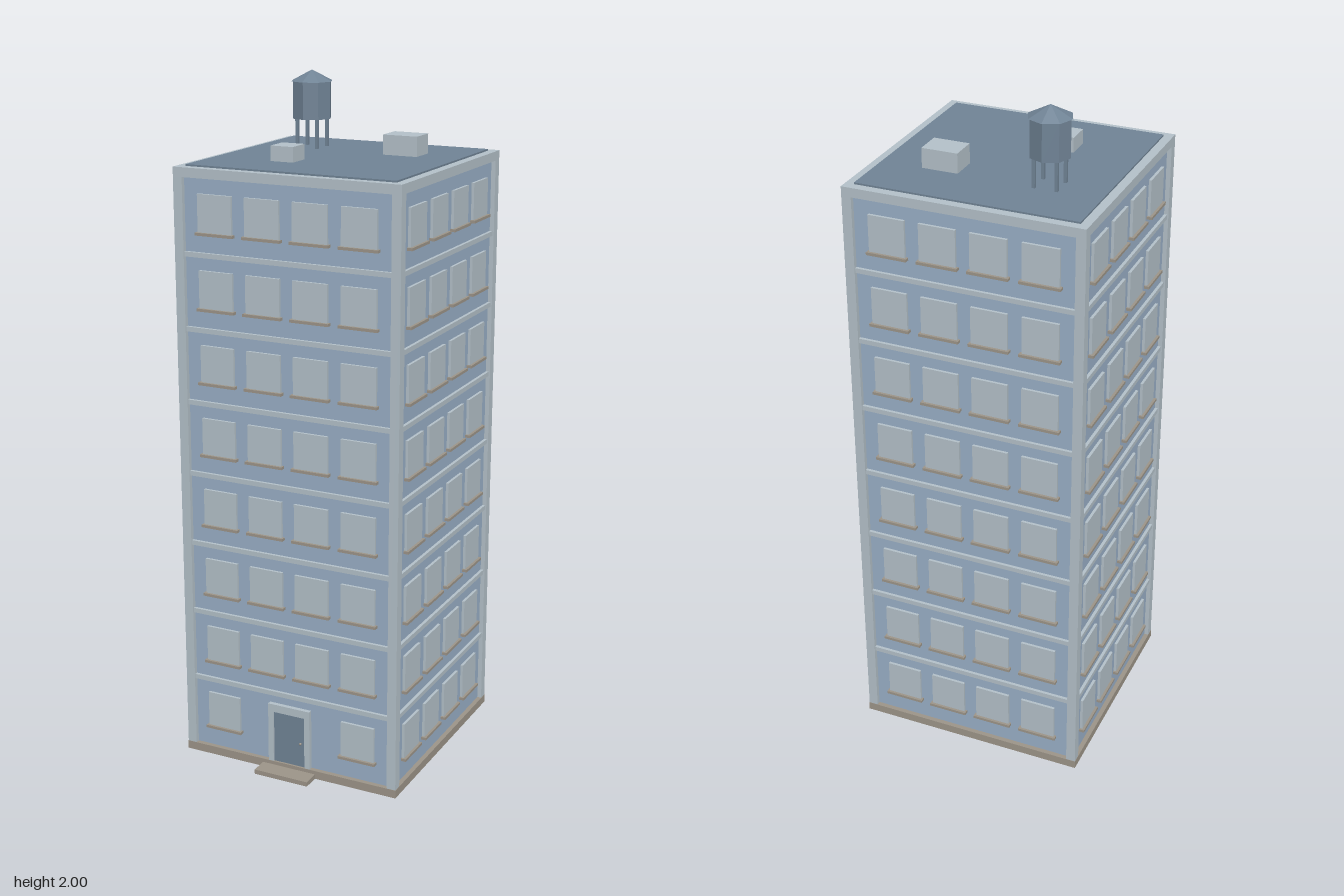
import * as THREE from 'three';

const mat = (name, color) => {
  const m = new THREE.MeshStandardMaterial({ color });
  m.name = name;
  return m;
};

export function createModel() {
  const model = new THREE.Group();
  model.name = 'apartmentBuilding';

  const wall = mat('blueWall', 0x98aec5);
  const trim = mat('paleTrim', 0xb3c0c8);
  const slate = mat('slate', 0x708395);
  const stone = mat('stone', 0x9c9488);
  const slateFlat = slate;

  const add = (parent, name, geo, material, x, y, z) => {
    const m = new THREE.Mesh(geo, material);
    m.name = name;
    m.position.set(x, y, z);
    parent.add(m);
    return m;
  };
  // Box given by centre x, bottom y, centre z
  const box = (parent, name, material, w, h, d, x, y, z) =>
    add(parent, name, new THREE.BoxGeometry(w, h, d), material, x, y + h / 2, z);

  const HALF = 0.345, WALL = 0.332, INNER = 0.317;
  const BASE = 0.025, TOP = 1.772, FLOOR0 = 0.029, FLOOR = 0.2145, FLOORS = 8;
  const columns = [-0.22, -0.073, 0.073, 0.22];

  const tower = new THREE.Group();
  tower.name = 'tower';
  tower.position.z = -0.0265;
  model.add(tower);

  // Plinth, wall core and roof deck
  box(tower, 'plinth', stone, 0.692, BASE, 0.692, 0, 0, 0);
  box(tower, 'wallCore', wall, WALL * 2, 1.745 - BASE, WALL * 2, 0, BASE, 0);
  box(tower, 'roofDeck', slate, 0.638, 0.032, 0.638, 0, 1.745, 0);

  // Corner piers
  const pier = HALF - INNER;
  for (const sx of [-1, 1]) for (const sz of [-1, 1]) {
    const c = HALF - pier / 2;
    box(tower, 'cornerPier', trim, pier, 1.745 - BASE, pier, sx * c, BASE, sz * c);
  }

  // Four matching facades; side 0 is the front
  for (let side = 0; side < 4; side++) {
    const facade = new THREE.Group();
    facade.name = ['frontFacade', 'leftFacade', 'backFacade', 'rightFacade'][side];
    facade.rotation.y = side * Math.PI / 2;
    tower.add(facade);

    // Roof edge: front and back run full width, the sides fit between
    const edge = 0.026;
    const edgeLength = side % 2 ? 2 * (HALF - edge) : 2 * HALF;
    box(facade, 'roofEdge', trim, edgeLength, TOP - 1.745, edge, 0, 1.745, HALF - edge / 2);

    for (let f = 0; f < FLOORS; f++) {
      const y = FLOOR0 + f * FLOOR;
      if (f > 0) box(facade, 'floorBand', trim, INNER * 2, 0.014, 0.01, 0, y - 0.007, WALL + 0.004);
      for (const x of columns) {
        if (side === 0 && f === 0 && Math.abs(x) < 0.1) continue;
        box(facade, 'window', trim, 0.106, 0.108, 0.009, x, y + 0.063, WALL + 0.0035);
        box(facade, 'windowSill', stone, 0.118, 0.008, 0.016, x, y + 0.056, WALL + 0.0075);
      }
    }
  }

  // Entrance
  const entrance = new THREE.Group();
  entrance.name = 'entrance';
  entrance.position.z = -0.0265 + WALL;
  model.add(entrance);
  for (const s of [-1, 1]) box(entrance, 'doorJamb', trim, 0.017, 0.185, 0.014, s * 0.0595, BASE, 0.006);
  box(entrance, 'doorLintel', trim, 0.136, 0.024, 0.014, 0, 0.186, 0.006);
  box(entrance, 'door', slate, 0.102, 0.161, 0.009, 0, BASE, 0.0035);
  add(entrance, 'doorKnob', new THREE.SphereGeometry(0.004, 10, 8), stone, 0.037, 0.1, 0.011);
  box(model, 'doorstep', stone, 0.173, 0.014, 0.062, 0, 0, 0.341);

  // Rooftop units
  box(model, 'roofUnitLarge', trim, 0.105, 0.06, 0.079, 0.1455, 1.774, -0.1475);
  box(model, 'roofUnitSmall', trim, 0.07, 0.046, 0.07, -0.101, 1.774, 0.105);

  // Water tank on four legs, eight-sided with flat faces
  const tank = new THREE.Group();
  tank.name = 'waterTank';
  tank.position.set(-0.16, 0, -0.16);
  model.add(tank);
  for (const sx of [-1, 1]) for (const sz of [-1, 1]) {
    box(tank, 'tankLeg', slate, 0.009, 0.09, 0.009, sx * 0.032, 1.774, sz * 0.032);
  }
  const faceted = (geo) => {
    const g = geo.toNonIndexed();
    g.computeVertexNormals();
    return g;
  };
  add(tank, 'tankBody', faceted(new THREE.CylinderGeometry(0.058, 0.058, 0.108, 8)), slateFlat, 0, 1.915, 0);
  add(tank, 'tankRoof', faceted(new THREE.ConeGeometry(0.0625, 0.032, 8)), slateFlat, 0, 1.984, 0);

  return model;
}
